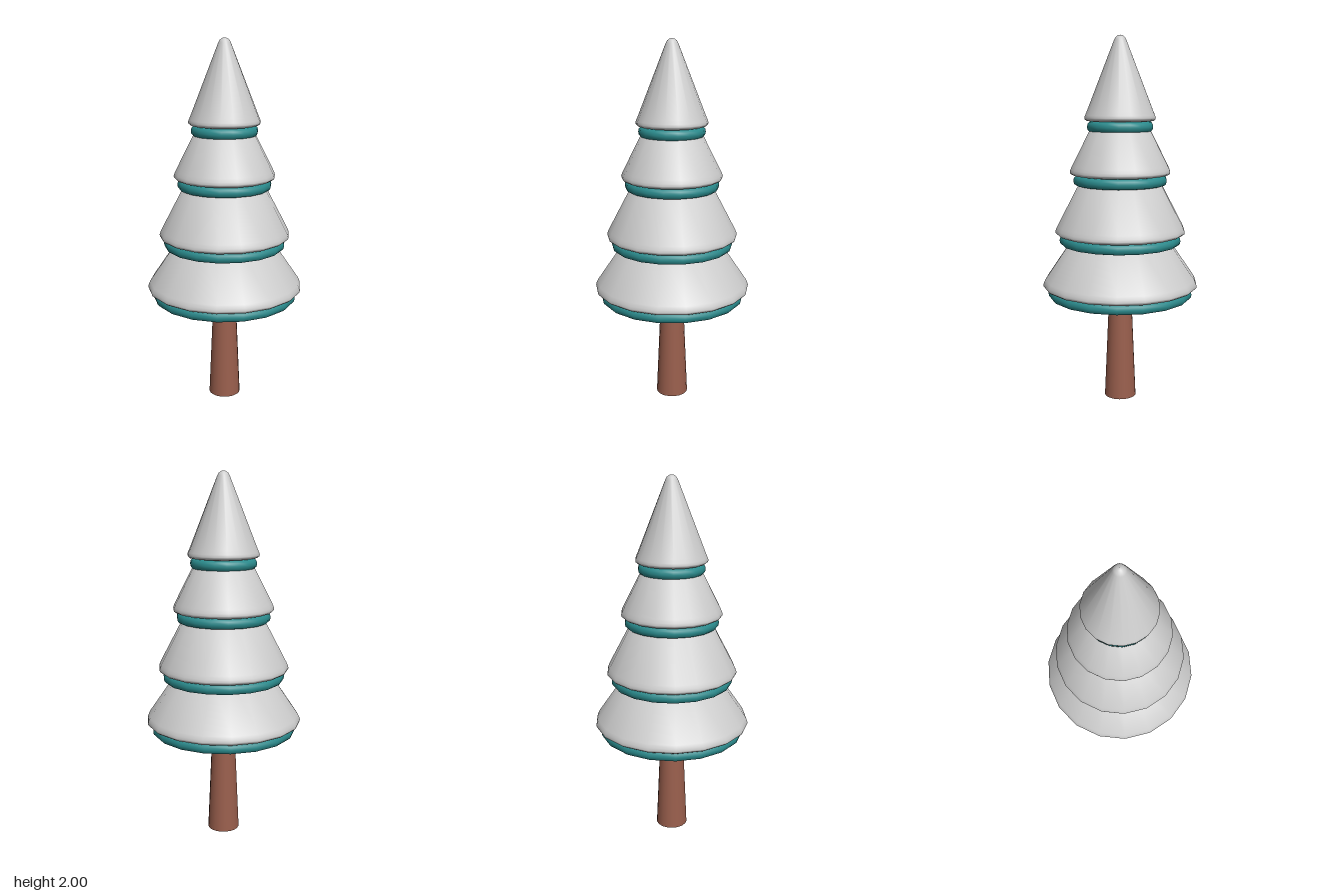
import * as THREE from 'three';

const SIDES = 18;

export function createModel() {
  const tree = new THREE.Group();
  tree.name = 'snowyTree';

  const snow = new THREE.MeshStandardMaterial({ color: 0xcccccc });
  const needles = new THREE.MeshStandardMaterial({ color: 0x2b8c8e });
  const bark = new THREE.MeshStandardMaterial({ color: 0x9a5f4d, side: THREE.DoubleSide });

  // Turns a bottom-to-top [radius, height] profile, with a corner on the x axis
  function lathe(name, profile, material) {
    const points = profile.map(([r, y]) => new THREE.Vector2(r, y));
    const mesh = new THREE.Mesh(new THREE.LatheGeometry(points, SIDES, Math.PI / 2), material);
    mesh.name = name;
    tree.add(mesh);
  }

  // Tapered trunk, open at both ends
  const trunk = new THREE.Mesh(
    new THREE.CylinderGeometry(0.062, 0.088, 0.6, SIDES, 1, true), bark);
  trunk.name = 'trunk';
  trunk.position.y = 0.3;
  trunk.rotation.y = Math.PI / 2;
  tree.add(trunk);

  // Each tier: rim radius r and base y of the snow, top radius and height, needle ring radius
  const tiers = [
    { r: 0.428, y: 0.635, topR: 0.235, topY: 0.95, ring: 0.4 },
    { r: 0.358, y: 0.932, topR: 0.195, topY: 1.27, ring: 0.335 },
    { r: 0.275, y: 1.258, topR: 0.135, topY: 1.56, ring: 0.256 },
    { r: 0.194, y: 1.547, topR: 0.033, topY: 1.974, ring: 0.18 },
  ];

  tiers.forEach(({ r, y, topR, topY, ring }, i) => {
    // Flat needle ring with a rounded edge
    const low = y - 0.056;
    lathe(`needleRing${i + 1}`, [
      [0, low], [ring - 0.025, low], [ring - 0.012, low + 0.003], [ring - 0.003, low + 0.012],
      [ring, low + 0.027], [ring - 0.003, low + 0.042], [ring - 0.012, low + 0.053],
      [ring - 0.025, low + 0.057], [0, low + 0.057],
    ], needles);

    // Snow skirt with a rounded lip; the last one ends in a rounded tip
    const cap = i === tiers.length - 1
      ? [[0.026, 1.987], [0.014, 1.997], [0, 2]]
      : [[0, topY]];
    lathe(`snowTier${i + 1}`, [
      [0, y], [r - 0.03, y], [r - 0.012, y + 0.003], [r - 0.002, y + 0.011],
      [r, y + 0.019], [r - 0.004, y + 0.032], [r - 0.012, y + 0.05],
      [topR, topY], ...cap,
    ], snow);
  });

  return tree;
}
